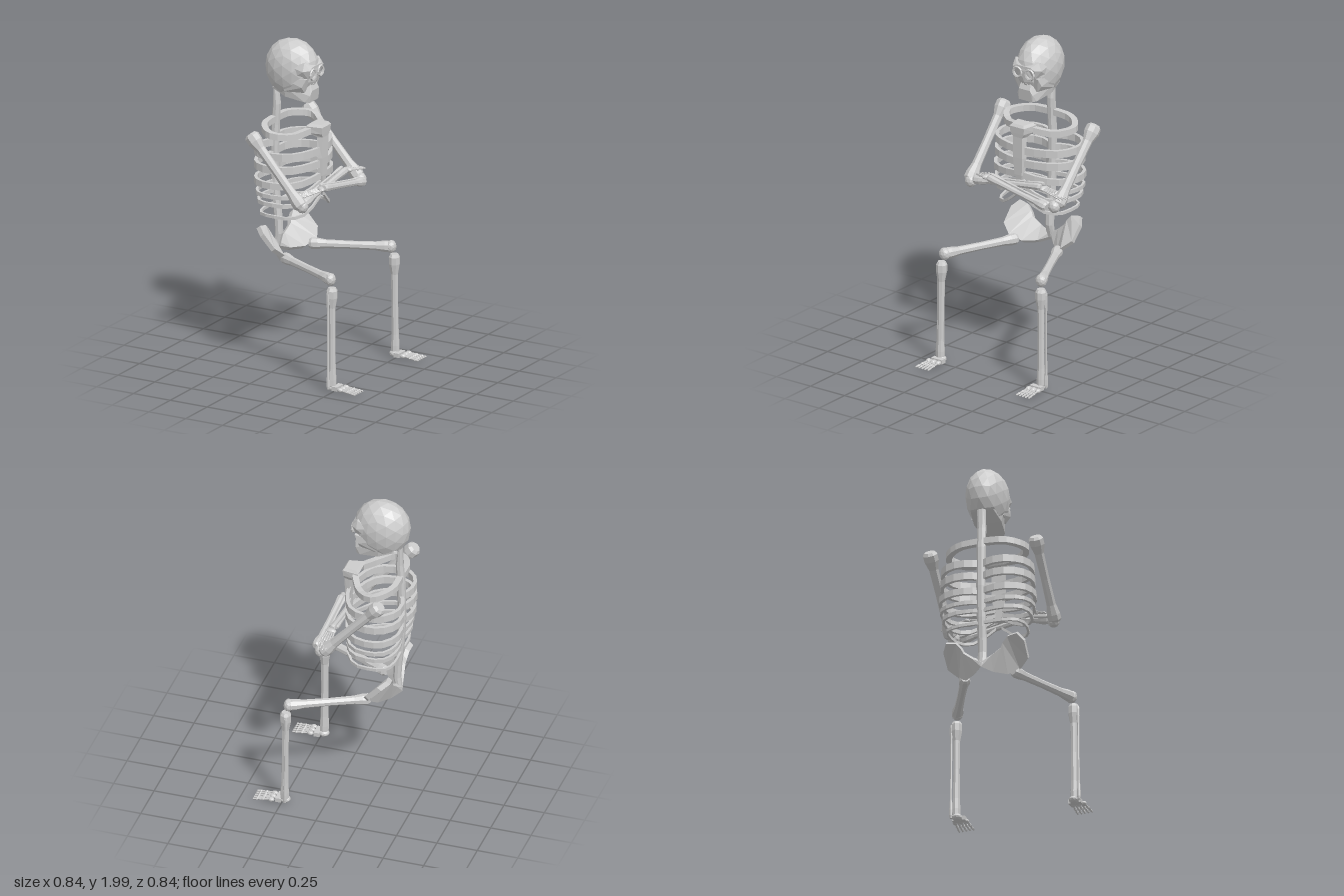
import * as THREE from 'three';
import { ConvexGeometry } from 'three/addons/geometries/ConvexGeometry.js';

const V = (x, y, z) => new THREE.Vector3(x, y, z);
const solid = new THREE.MeshStandardMaterial({ color: 0xcccccc, flatShading: true });
const thin = new THREE.MeshStandardMaterial({ color: 0xcccccc, flatShading: true, side: THREE.DoubleSide });

function add(parent, name, geometry, material = solid) {
  const mesh = new THREE.Mesh(geometry, material);
  mesh.name = name;
  parent.add(mesh);
  return mesh;
}

// Skin a list of equal-sized cross-sections, capping both ends
function loft(sections) {
  const n = sections[0].length, pos = [], idx = [];
  sections.forEach(s => s.forEach(p => pos.push(p.x, p.y, p.z)));
  for (let i = 0; i < sections.length - 1; i++) {
    for (let j = 0; j < n; j++) {
      const a = i * n + j, b = i * n + (j + 1) % n;
      idx.push(a, a + n, b, b, a + n, b + n);
    }
  }
  const end = (sections.length - 1) * n;
  for (let j = 1; j < n - 1; j++) idx.push(0, j, j + 1, end, end + j + 1, end + j);
  const g = new THREE.BufferGeometry();
  g.setAttribute('position', new THREE.Float32BufferAttribute(pos, 3));
  g.setIndex(idx);
  const flat = g.toNonIndexed();
  flat.computeVertexNormals();
  return flat;
}

// Turned bone between two points; profile holds [fraction of length, radius]
function bone(parent, name, a, b, profile, sides = 8) {
  const dir = b.clone().sub(a), len = dir.length();
  const pts = [[0, 0], ...profile, [1, 0]].map(([t, r]) => new THREE.Vector2(r, t * len));
  const mesh = add(parent, name, new THREE.LatheGeometry(pts, sides));
  mesh.position.copy(a);
  mesh.quaternion.setFromUnitVectors(V(0, 1, 0), dir.normalize());
  return mesh;
}

const shaft = (r0, r, r1) => [[0, r0 * 0.7], [0.03, r0], [0.1, r0], [0.2, r * 1.1], [0.5, r], [0.8, r * 1.1], [0.91, r1], [0.97, r1], [1, r1 * 0.7]];
const digit = r => [[0, r], [0.04, r * 1.2], [0.1, r * 0.7], [0.42, r * 0.7], [0.48, r * 1.1], [0.54, r * 0.65], [0.72, r * 0.65], [0.77, r], [0.82, r * 0.6], [0.96, r * 0.7]];

function lump(parent, name, p, sx, sy, sz) {
  const mesh = add(parent, name, new THREE.IcosahedronGeometry(1, 1));
  mesh.position.copy(p);
  mesh.scale.set(sx, sy, sz);
  return mesh;
}

function buildSkull() {
  const g = new THREE.Group();
  g.name = 'skull';
  // Cranium, with its underside trimmed to a sloping plane
  const cranium = new THREE.IcosahedronGeometry(1, 2), p = cranium.attributes.position;
  for (let i = 0; i < p.count; i++) {
    const x = -0.25 + p.getX(i) * 0.17;
    const y = 1.83 + p.getY(i) * (p.getY(i) > 0 ? 0.17 : 0.2);
    p.setXYZ(i, x, Math.max(y, 1.705 - 0.25 * (x + 0.38)), p.getZ(i) * 0.127);
  }
  cranium.computeVertexNormals();
  add(g, 'cranium', cranium);
  const hull = (name, list) => add(g, name, new ConvexGeometry(
    list.flatMap(([x, y, z]) => [V(x, y, z), V(x, y, -z)])));
  hull('brow', [[-0.12, 1.89, 0.085], [-0.085, 1.86, 0.05], [-0.085, 1.845, 0.08], [-0.12, 1.84, 0.105],
    [-0.2, 1.86, 0.11], [-0.105, 1.79, 0.07], [-0.11, 1.78, 0.02], [-0.2, 1.78, 0.1]]);
  hull('cheeks', [[-0.105, 1.79, 0.09], [-0.13, 1.74, 0.1], [-0.25, 1.78, 0.115], [-0.115, 1.765, 0.03],
    [-0.25, 1.7, 0.1], [-0.13, 1.7, 0.07]]);
  hull('jaw', [[-0.11, 1.75, 0.035], [-0.093, 1.71, 0.04], [-0.1, 1.68, 0.055], [-0.105, 1.637, 0.05],
    [-0.13, 1.64, 0.065], [-0.25, 1.662, 0.085], [-0.35, 1.7, 0.07], [-0.25, 1.73, 0.1]]);
  for (const s of [1, -1]) {
    const socket = add(g, 'eyeSocket', new THREE.TorusGeometry(0.03, 0.008, 5, 10));
    socket.position.set(-0.085, 1.815, s * 0.045);
    socket.rotation.y = Math.PI / 2;
  }
  const nose = add(g, 'noseOpening', new THREE.TorusGeometry(0.018, 0.005, 4, 3));
  nose.position.set(-0.103, 1.755, 0);
  nose.rotation.set(0, Math.PI / 2, Math.PI / 2, 'YXZ');
  return g;
}

// Flat band following a path of points
function band(points, h, w) {
  const curve = new THREE.CatmullRomCurve3(points), n = 12;
  return loft(Array.from({ length: n + 1 }, (_, i) => {
    const c = curve.getPoint(i / n), t = curve.getTangent(i / n);
    const side = V(-t.z, 0, t.x).normalize().multiplyScalar(w / 2);
    return [[1, 1], [1, -1], [-1, -1], [-1, 1]].map(([a, b]) => c.clone().addScaledVector(side, a).add(V(0, b * h / 2, 0)));
  }));
}

function buildTorso() {
  const g = new THREE.Group();
  g.name = 'torso';
  // Spine: y, x, half depth
  const spine = [[0.7, -0.355, 0.018], [0.78, -0.34, 0.024], [0.87, -0.345, 0.025], [1.0, -0.36, 0.024],
    [1.2, -0.37, 0.025], [1.45, -0.365, 0.026], [1.58, -0.355, 0.023], [1.72, -0.362, 0.01]];
  add(g, 'spine', loft(spine.map(([y, x, r]) => Array.from({ length: 8 }, (_, i) => {
    const a = (i + 0.5) * Math.PI / 4;
    return V(x + r * Math.cos(a), y, -0.028 * Math.sin(a));
  }))), thin);
  // Breastbone: y, half width, back x, front x
  const sternum = [[1.12, 0.012, -0.055, -0.04], [1.19, 0.035, -0.055, -0.032], [1.3, 0.045, -0.055, -0.027],
    [1.43, 0.043, -0.06, -0.025], [1.455, 0.065, -0.1, -0.022], [1.495, 0.07, -0.12, -0.018], [1.51, 0.055, -0.105, -0.03]];
  add(g, 'breastbone', loft(sternum.map(([y, z, x0, x1]) => [V(x0, y, z), V(x1, y, z * 0.75), V(x1, y, -z * 0.75), V(x0, y, -z)])), thin);
  // Ribs: y, half width, back x, height, thickness, rise at the front
  const ribs = [[1.345, 0.27, -0.4, 0.045, 0.022, 0], [1.265, 0.275, -0.4, 0.045, 0.022, 0],
    [1.17, 0.285, -0.395, 0.04, 0.02, 0.02], [1.1, 0.28, -0.385, 0.024, 0.016, 0.05],
    [1.045, 0.265, -0.38, 0.024, 0.016, 0.08], [0.965, 0.24, -0.37, 0.018, 0.014, 0.1]];
  for (const s of [1, -1]) {
    for (const [y, w, xb, h, d, rise] of ribs) {
      const path = [[-0.365, 0.03, 0], [xb, 0.28, 0], [xb + 0.005, 0.65, 0], [-0.33, 0.93, 0], [-0.24, 1, 0],
        [-0.14, 0.88, -0.05], [-0.08, 0.55, 0.15], [-0.05, 0.08, 1]];
      add(g, 'rib', band(path.map(([x, z, r]) => V(x, y + r * rise, s * z * w)), h, d), thin);
    }
    add(g, 'collarBone', band([V(-0.365, 1.49, s * 0.02), V(-0.36, 1.485, s * 0.13), V(-0.31, 1.475, s * 0.21),
      V(-0.25, 1.465, s * 0.24), V(-0.16, 1.45, s * 0.17), V(-0.1, 1.47, s * 0.06)], 0.038, 0.036), thin);
    // Hip bone: lower and upper rails swept outward from the spine
    const low = [[-0.36, 0.69, 0], [-0.31, 0.668, 0.06], [-0.25, 0.668, 0.13], [-0.205, 0.71, 0.19], [-0.235, 0.76, 0.25], [-0.31, 0.84, 0.252]];
    const high = [[-0.36, 0.72, 0], [-0.35, 0.755, 0.06], [-0.34, 0.8, 0.115], [-0.345, 0.83, 0.13], [-0.35, 0.865, 0.16], [-0.355, 0.875, 0.22]];
    const o = V(0.012, 0.01, 0);
    add(g, 'hipBone', loft(low.map((l, i) => {
      const a = V(l[0], l[1], s * l[2]), b = V(high[i][0], high[i][1], s * high[i][2]);
      return [a.clone().add(o), b.clone().add(o), b.clone().sub(o), a.clone().sub(o)];
    })), thin);
  }
  return g;
}

function buildArm(name, s, elbow, start, wrist, tip) {
  const g = new THREE.Group();
  g.name = name;
  bone(g, 'upperArm', V(-0.345, 1.485, s * 0.33), elbow, shaft(0.046, 0.027, 0.042));
  lump(g, 'elbow', elbow.clone().lerp(start, 0.3), 0.035, 0.04, 0.038);
  bone(g, 'forearmMain', start, wrist, shaft(0.028, 0.017, 0.022));
  const off = V(-0.028, 0.012, 0);
  bone(g, 'forearmSlim', start.clone().add(off), wrist.clone().add(off), shaft(0.014, 0.008, 0.013), 6);
  // Hand: wrist lump and splayed fingers
  const dir = tip.clone().sub(wrist), len = dir.length();
  dir.normalize();
  const across = V(0, 1, 0).cross(dir).normalize();
  const palm = wrist.clone().addScaledVector(dir, 0.02);
  const carpal = lump(g, 'wrist', palm, 0.034, 0.016, 0.02);
  carpal.quaternion.setFromUnitVectors(V(1, 0, 0), across);
  for (let i = -2; i <= 2; i++) {
    const reach = len - 0.012 * Math.abs(i);
    bone(g, 'finger', palm.clone().addScaledVector(across, i * 0.011),
      wrist.clone().addScaledVector(dir, reach).addScaledVector(across, i * 0.018), digit(0.008), 6);
  }
  return g;
}

function buildLeg(name, s) {
  const g = new THREE.Group();
  g.name = name;
  bone(g, 'thigh', V(-0.225, 0.692, s * 0.15), V(0.22, 0.685, s * 0.358), shaft(0.034, 0.024, 0.034));
  lump(g, 'knee', V(0.215, 0.685, s * 0.355), 0.03, 0.04, 0.036);
  bone(g, 'shin', V(0.23, 0.64, s * 0.365), V(0.235, 0.02, s * 0.37), shaft(0.034, 0.02, 0.026));
  bone(g, 'calfBone', V(0.22, 0.62, s * 0.395), V(0.225, 0.02, s * 0.4), shaft(0.01, 0.006, 0.011), 6);
  // Foot: heel, ankle block, beads and toes
  lump(g, 'heel', V(0.235, 0.025, s * 0.365), 0.035, 0.022, 0.032);
  const block = add(g, 'ankleBlock', new THREE.BoxGeometry(0.035, 0.026, 0.078));
  block.position.set(0.267, 0.027, s * 0.362);
  for (const z of [0.332, 0.367, 0.402]) lump(g, 'footBead', V(0.307, 0.028, s * z), 0.02, 0.014, 0.016);
  for (let i = 0; i < 5; i++) {
    bone(g, 'toe', V(0.3, 0.03, s * (0.332 + i * 0.0175)), V(0.42, 0.018, s * (0.325 + i * 0.0225)), digit(0.009), 6);
  }
  return g;
}

export function createModel() {
  const model = new THREE.Group();
  model.name = 'seatedSkeleton';
  model.add(buildSkull(), buildTorso());
  // Folded arms: each hand rests by the opposite elbow
  model.add(buildArm('leftArm', 1, V(0.005, 1.085, 0.33), V(0, 1.1, 0.3), V(0, 1.17, -0.195), V(0, 1.135, -0.385)));
  model.add(buildArm('rightArm', -1, V(0.015, 1.085, -0.325), V(0.07, 1.085, -0.285), V(0.055, 1.165, 0.155), V(-0.055, 1.13, 0.285)));
  model.add(buildLeg('leftLeg', 1), buildLeg('rightLeg', -1));
  return model;
}
